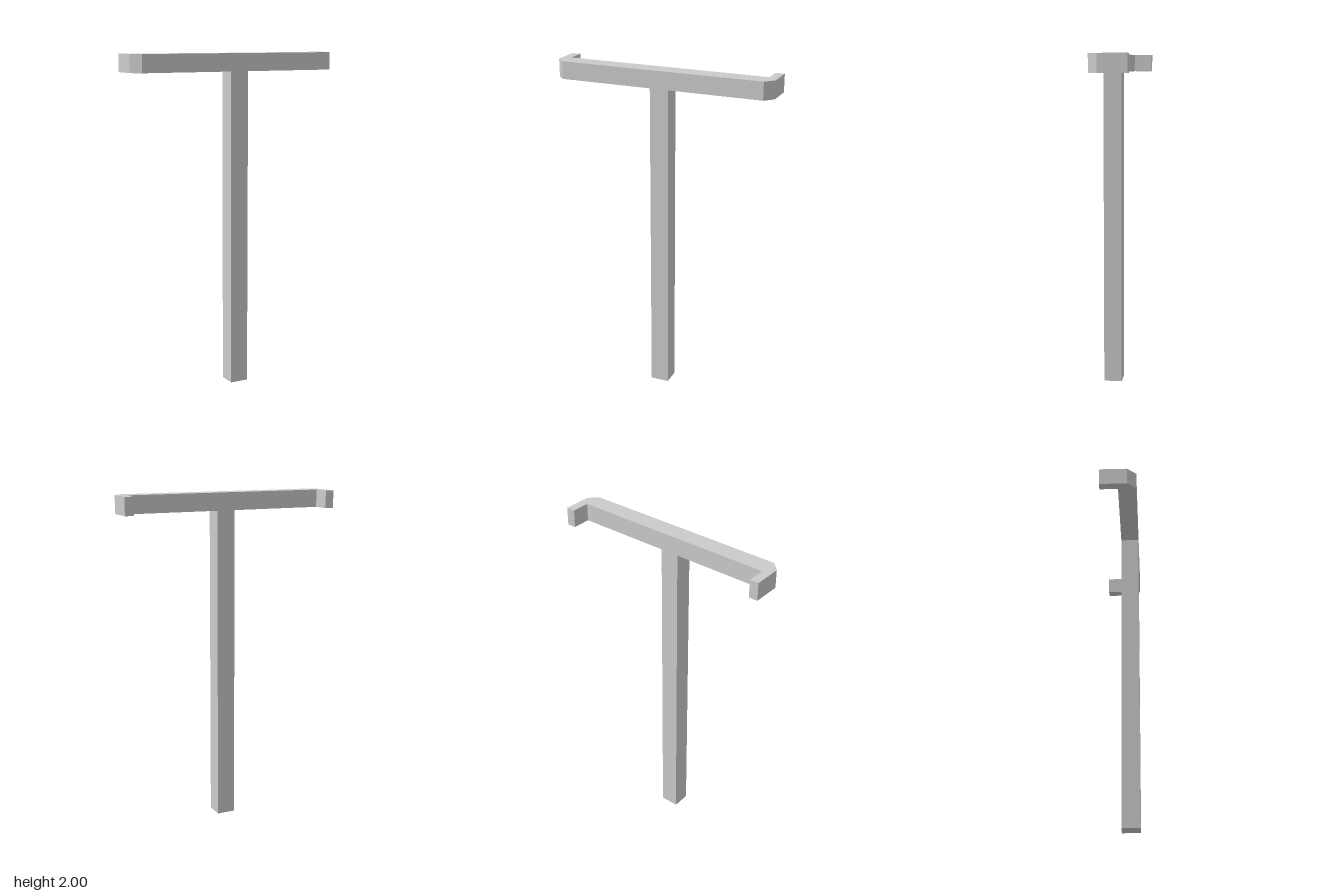
import * as THREE from 'three';

const TOP = 2, BAR_HEIGHT = 0.105, FRONT = 0.109;

export function createModel() {
  const group = new THREE.Group();
  const material = new THREE.MeshStandardMaterial({ color: 0xcccccc, flatShading: true });

  // Crossbar: plan outline (x, z) with chamfered front corners and two arms turned back
  const half = [[0.615, FRONT], [0.665, 0.055], [0.665, -0.11], [0.612, -0.11], [0.612, 0]];
  const mirrored = half.map(([x, z]) => [-x, z]).reverse();
  const outline = new THREE.Shape([...half, ...mirrored].map(([x, z]) => new THREE.Vector2(x, z)));
  const barGeometry = new THREE.ExtrudeGeometry(outline, { depth: BAR_HEIGHT, bevelEnabled: false });
  barGeometry.rotateX(Math.PI / 2); // outline lies flat, depth runs downwards
  const crossbar = new THREE.Mesh(barGeometry, material);
  crossbar.name = 'crossbar';
  crossbar.position.y = TOP;

  // Post: square upright, flush with the front and back of the crossbar
  const postHeight = TOP - BAR_HEIGHT;
  const post = new THREE.Mesh(new THREE.BoxGeometry(0.112, postHeight, FRONT), material);
  post.name = 'post';
  post.position.set(0, postHeight / 2, FRONT / 2);

  group.add(crossbar, post);
  return group;
}
